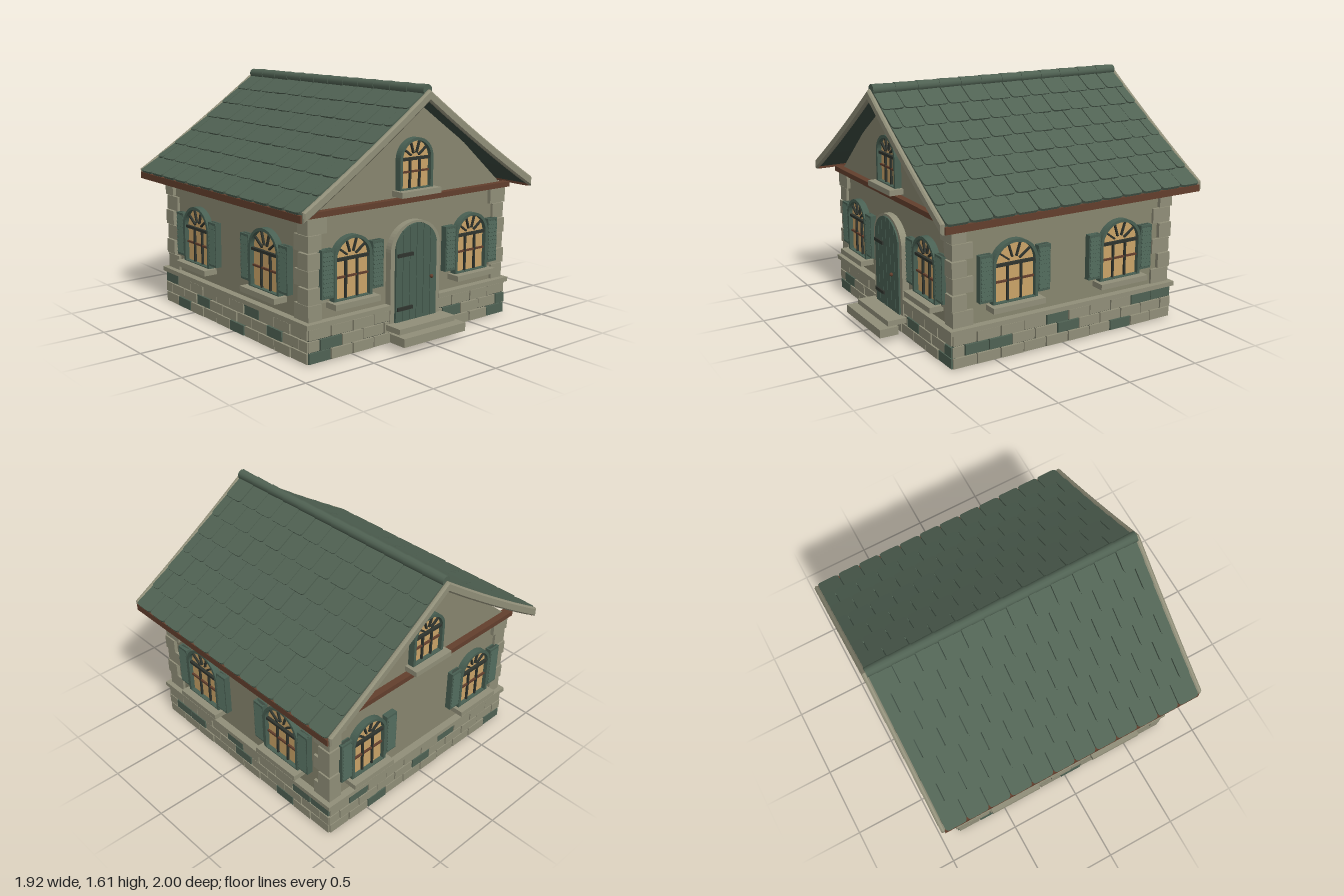
import * as THREE from 'three';
import { mergeGeometries } from 'three/addons/utils/BufferGeometryUtils.js';

const mat = (name, color, side = THREE.FrontSide) => {
  const m = new THREE.MeshStandardMaterial({ color, side });
  m.name = name;
  return m;
};
const CZ = -0.035; // centre of the house in z
const HALF = 0.8; // half width and depth of the walls

export function createModel() {
  const M = {
    plaster: mat('plaster', 0x88866f),
    stone: mat('pale stone', 0x918f79),
    mossStone: mat('green stone', 0x4f6254),
    mortar: mat('dark mortar', 0x2c332d),
    tile: mat('roof tile', 0x506253),
    roofShade: mat('roof underside', 0x3c4b41),
    paint: mat('green paint', 0x496053),
    timber: mat('brown timber', 0x633f2d),
    glass: mat('lit glass', 0xcba468),
    iron: mat('dark iron', 0x2f342e),
  };
  const root = new THREE.Group();
  root.name = 'cottage';

  const add = (parent, name, geo, material, x = 0, y = 0, z = 0) => {
    const m = new THREE.Mesh(geo, material);
    m.name = name;
    m.position.set(x, y, z);
    parent.add(m);
    return m;
  };
  const box = (parent, name, material, w, h, d, x, y, z) =>
    add(parent, name, new THREE.BoxGeometry(w, h, d), material, x, y, z);
  const extrude = (shape, depth, bevel = 0) => new THREE.ExtrudeGeometry(shape, {
    depth, curveSegments: 14, bevelEnabled: bevel > 0, bevelThickness: bevel, bevelSize: bevel, bevelSegments: 1 });

  // Arched outline: straight jambs up to the spring line, elliptical head above
  const arch = (C, w, y0, spring, ry) => {
    const s = new C();
    s.moveTo(-w, y0);
    s.lineTo(w, y0);
    s.lineTo(w, spring);
    s.absellipse(0, spring, w, ry, 0, Math.PI, false, 0);
    s.lineTo(-w, y0);
    return s;
  };

  // Walls and gables
  box(root, 'walls', M.plaster, HALF * 2, 0.7, HALF * 2, 0, 0.55, CZ);
  const gable = new THREE.Shape([[-0.81, 0.89], [0.81, 0.89], [0.45, 1.2], [0, 1.525], [-0.45, 1.2]]
    .map(p => new THREE.Vector2(...p)));
  add(root, 'gables', extrude(gable, HALF * 2), M.plaster, 0, 0, CZ - HALF);

  // Four wall groups, each facing outwards along its own +z, z = 0 on the wall
  const sides = {};
  ['front', 'right', 'back', 'left'].forEach((n, i) => {
    const g = new THREE.Group();
    g.name = n + 'Side';
    const a = [0, Math.PI / 2, Math.PI, -Math.PI / 2][i];
    g.rotation.y = a;
    g.position.set(Math.sin(a) * HALF, 0, CZ + Math.cos(a) * HALF);
    root.add(g);
    sides[n] = g;
  });

  // Stone base: three courses of ten blocks, with a few green ones
  box(root, 'mortarBase', M.mortar, 1.645, 0.22, 1.645, 0, 0.11, CZ);
  const green = {
    front: [[0, 9], [1, 7, 10], []], right: [[7], [1, 2, 5], [4, 8, 9]],
    back: [[2, 9], [5], [1, 6]], left: [[1, 5], [3, 8], [0, 6]],
  };
  for (const [name, g] of Object.entries(sides)) {
    for (let row = 0; row < 3; row++) {
      const step = 1.66 / 10;
      for (let i = 0; i <= 10; i++) {
        const shift = row === 1 ? -step / 2 : 0;
        const a = Math.max(-0.835, -0.83 + i * step + shift);
        const b = Math.min(0.835, -0.83 + (i + 1) * step + shift);
        if (b - a < 0.02) continue;
        const m = green[name][row].includes(i) ? M.mossStone : M.stone;
        box(g, 'baseStone', m, b - a - 0.008, 0.064, 0.03, (a + b) / 2, 0.038 + row * 0.072, 0.022 + (i % 3) * 0.002);
      }
    }
  }
  // Ledge over the base, left open at the door
  for (const n of ['right', 'back', 'left']) box(sides[n], 'ledge', M.stone, 1.7, 0.03, 0.06, 0, 0.235, 0.02);
  for (const s of [-1, 1]) box(sides.front, 'ledge', M.stone, 0.65, 0.03, 0.06, s * 0.525, 0.235, 0.02);

  // Corner quoins, alternating long and short on each face
  for (const sx of [-1, 1]) for (const sz of [-1, 1]) for (let i = 0; i < 6; i++) {
    const long = i % 2;
    const w = long ? 0.14 : 0.1, d = long ? 0.1 : 0.14, o = long ? 0.025 : 0.018;
    box(root, 'quoin', M.stone, w, 0.098, d, sx * (HALF + o - w / 2), 0.302 + i * 0.104, CZ + sz * (HALF + o - d / 2));
  }

  // Arched window with sill, glazing bars and optional louvred shutters
  const addWindow = (side, x, w, y0, spring, shutters) => {
    const g = new THREE.Group();
    g.name = 'window';
    g.position.x = x;
    side.add(g);
    const t = 0.02, r = w - t, ir = r * 0.95;
    const frame = arch(THREE.Shape, w, y0, spring, w * 0.95);
    frame.holes.push(arch(THREE.Path, r, y0 + 0.008, spring, ir));
    add(g, 'windowFrame', extrude(frame, 0.045), M.paint);
    add(g, 'glass', extrude(arch(THREE.Shape, r, y0, spring, ir), 0.008), M.glass, 0, 0, 0.008);
    box(g, 'transom', M.iron, r * 2, 0.018, 0.022, 0, spring, 0.025);
    box(g, 'glazingBar', M.timber, r * 2, 0.012, 0.014, 0, (y0 + spring) / 2 + 0.015, 0.022);
    for (const s of [-1, 1])
      box(g, 'glazingBar', M.iron, 0.012, spring - y0, 0.016, s * r * 0.34, (y0 + spring) / 2, 0.022);
    for (let k = 1; k <= 4; k++) {
      const a = k * Math.PI / 5;
      box(g, 'fanBar', M.iron, r * 0.64, 0.011, 0.016, Math.cos(a) * r * 0.65, spring + Math.sin(a) * ir * 0.65, 0.022)
        .rotation.z = a;
    }
    box(g, 'sill', M.stone, w * 2 + 0.05, 0.036, 0.1, 0, y0 - 0.016, 0.045);
    if (!shutters) return;
    for (const s of [-1, 1]) {
      const sx = s * (w + 0.046), h = 0.295, yc = 0.53;
      box(g, 'shutterBack', M.roofShade, 0.08, h, 0.02, sx, yc, 0.02);
      for (const e of [-1, 1]) {
        box(g, 'shutterStile', M.paint, 0.012, h, 0.042, sx + e * 0.038, yc, 0.022);
        box(g, 'shutterRail', M.paint, 0.07, 0.014, 0.042, sx, yc + e * (h / 2 - 0.007), 0.022);
      }
      for (let i = 0; i < 10; i++)
        box(g, 'louvre', M.paint, 0.074, 0.026, 0.008, sx, yc - 0.118 + i * 0.0262, 0.042).rotation.x = -0.45;
    }
  };
  for (const n of ['front', 'back']) {
    for (const s of [-1, 1]) addWindow(sides[n], s * 0.5, 0.147, 0.35, 0.6, true);
    addWindow(sides[n], 0, 0.137, 0.955, 1.145, false);
    box(sides[n], 'gableBeam', M.timber, 1.69, 0.034, 0.06, 0, 0.892, 0.015);
  }
  for (const n of ['right', 'left'])
    for (const s of [-1, 1]) addWindow(sides[n], s * 0.397, 0.16, 0.355, 0.595, true);

  // Door with stone surround, planks, hinges and knob
  const door = new THREE.Group();
  door.name = 'door';
  sides.front.add(door);
  const surround = arch(THREE.Shape, 0.207, 0.12, 0.58, 0.18);
  surround.holes.push(arch(THREE.Path, 0.174, 0.121, 0.58, 0.166));
  add(door, 'doorSurround', extrude(surround, 0.045), M.stone);
  add(door, 'doorBack', extrude(arch(THREE.Shape, 0.174, 0.12, 0.58, 0.166), 0.03), M.iron);
  const head = x => 0.58 + 0.164 * Math.sqrt(Math.max(0, 1 - (x / 0.174) ** 2));
  for (let i = 0; i < 6; i++) {
    const a = -0.172 + i * 0.0573 + 0.002, b = a + 0.0533;
    const plank = new THREE.Shape();
    plank.moveTo(a, 0.125);
    plank.lineTo(b, 0.125);
    for (let k = 4; k >= 0; k--) plank.lineTo(a + (b - a) * k / 4, head(a + (b - a) * k / 4));
    add(door, 'doorPlank', extrude(plank, 0.03), M.paint, 0, 0, 0.025);
  }
  for (const y of [0.215, 0.557]) box(door, 'hinge', M.iron, 0.125, 0.022, 0.014, -0.1, y, 0.06);
  add(door, 'knob', new THREE.SphereGeometry(0.012, 12, 8), M.timber, 0.11, 0.39, 0.075);
  box(root, 'lowerStep', M.stone, 0.52, 0.055, 0.13, 0, 0.067, 0.935);
  box(root, 'upperStep', M.stone, 0.47, 0.036, 0.14, 0, 0.112, 0.86);

  // Roof deck and barge boards follow one gently curved slope
  const slope = x => 1.545 - 0.72 * Math.abs(x) + 0.06 * x * x;
  const band = (half, top, bottom) => {
    const up = [], down = [];
    for (let i = -8; i <= 8; i++) {
      const x = i / 8 * half;
      up.push(new THREE.Vector2(x, slope(x) + top));
      down.push(new THREE.Vector2(x, slope(x) + bottom));
    }
    return new THREE.Shape(down.concat(up.reverse()));
  };
  const Z0 = -0.972, Z1 = 0.89;
  add(root, 'roofDeck', extrude(band(0.94, 0, -0.03), Z1 - Z0), M.roofShade, 0, 0, Z0);
  const barge = extrude(band(0.935, 0.016, -0.03), 0.012, 0.01);
  add(root, 'bargeBoard', barge, M.stone, 0, 0, 0.898);
  add(root, 'bargeBoard', barge, M.stone, 0, 0, -0.99);
  for (const s of [-1, 1]) box(root, 'eaveBoard', M.timber, 0.022, 0.044, Z1 - Z0 + 0.01, s * 0.94, 0.904, (Z0 + Z1) / 2);

  // Overlapping tiles with rounded lower corners
  const tiles = [], pitch = (Z1 - Z0) / 12, dx = 0.134;
  for (const s of [-1, 1]) for (let row = 0; row < 7; row++) {
    const x1 = 0.95 - row * dx, x0 = Math.max(0.005, x1 - dx - 0.03);
    const d = new THREE.Vector3(s * (x1 - x0), slope(x1) + 0.012 - slope(x0), 0);
    const len = d.length();
    d.normalize();
    const n = new THREE.Vector3(-s * d.y, s * d.x, 0);
    const u = new THREE.Vector3().crossVectors(d, n);
    for (let i = 0; i <= 12; i++) {
      const off = row % 2 ? -pitch / 2 : 0;
      const a = Math.max(Z0, Z0 + i * pitch + off), b = Math.min(Z1, Z0 + (i + 1) * pitch + off);
      if (b - a < 0.02) continue;
      const w = (b - a) / 2 - 0.003, c = 0.026;
      const t = new THREE.Shape();
      t.moveTo(-w, 0);
      t.lineTo(w, 0);
      t.lineTo(w, len - c);
      t.quadraticCurveTo(w, len, w - c, len);
      t.lineTo(-w + c, len);
      t.quadraticCurveTo(-w, len, -w, len - c);
      const geo = new THREE.ExtrudeGeometry(t, { depth: 0.016 + (i * 7 + row * 3) % 4 * 0.001, bevelEnabled: false, curveSegments: 3 });
      geo.applyMatrix4(new THREE.Matrix4().makeBasis(u, d, n).setPosition(s * x0, slope(x0), (a + b) / 2));
      tiles.push(geo);
    }
  }
  add(root, 'roofTiles', mergeGeometries(tiles), M.tile);

  // Ridge caps, each slightly flared over the next
  for (let i = 0; i < 12; i++)
    add(root, 'ridgeCap', new THREE.CylinderGeometry(0.036, 0.032, pitch + 0.004, 12), M.tile,
      0, 1.569, Z0 + (i + 0.5) * pitch).rotation.x = Math.PI / 2;
  return root;
}
